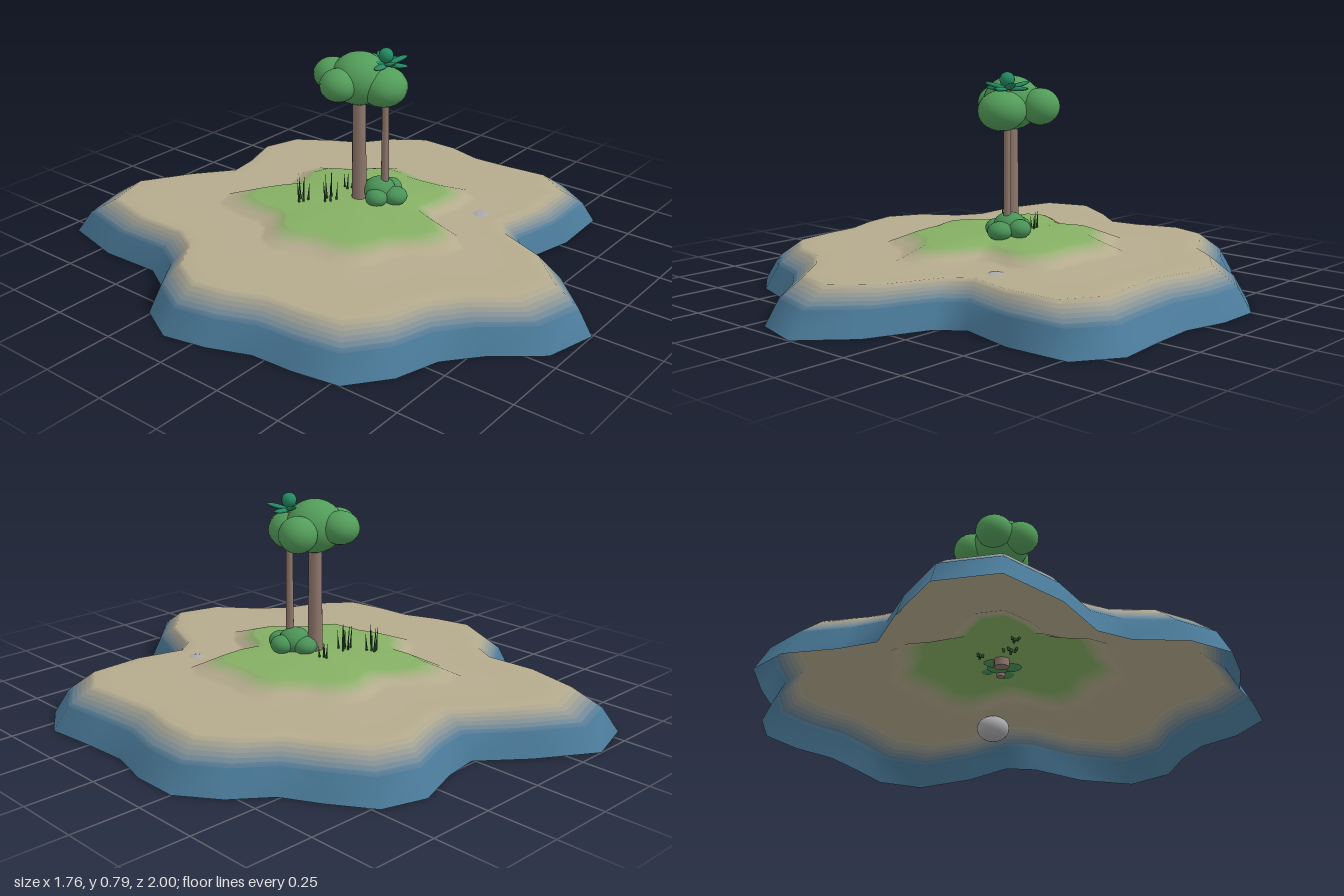
import * as THREE from 'three';

const SAND = 0xb5ab8e, WATER = 0x4a7a99, GRASS = 0x86b064;
const mat = (color, extra = {}) => new THREE.MeshStandardMaterial({ color, roughness: 0.9, ...extra });

// Shoreline as x, z pairs, running from +x towards +z
const SHORE = [
  [.88, -.25], [.88, -.08], [.84, .08], [.85, .25], [.87, .44], [.77, .59], [.535, .60], [.325, .55], [.235, .62],
  [.145, .84], [-.01, 1], [-.20, .95], [-.33, .79], [-.45, .69], [-.61, .64], [-.75, .53], [-.78, .36],
  [-.79, .20], [-.85, .05], [-.885, -.11], [-.81, -.26], [-.66, -.36], [-.60, -.47], [-.61, -.70], [-.555, -.94],
  [-.36, -1], [-.15, -.87], [.01, -.74], [.145, -.76], [.32, -.82], [.48, -.77], [.58, -.62], [.65, -.49], [.78, -.39],
];

// Rings of the island: scale of the shoreline, height, colour, subdivisions to the next ring
const RINGS = [
  [1, 0, WATER, 1], [.945, .085, WATER, 6], [.845, .15, SAND, 1], [.77, .15, SAND, 1],
  [.49, .15, SAND, 2], [.44, .167, SAND, 6], [.36, .195, GRASS, 1], [.2, .205, GRASS, 1], [.001, .21, GRASS, 1],
];

// Open shell; each band of quads has its own colour so that beach and meadow blend
function buildIsland() {
  const rows = [], colors = [];
  RINGS.forEach(([s, y, c, n], i) => {
    const next = RINGS[i + 1];
    if (!next) return rows.push([s, y]);
    for (let k = 0; k < n; k++) {
      const t = k / n;
      rows.push([s + (next[0] - s) * t, y + (next[1] - y) * t]);
      colors.push(new THREE.Color(c).lerp(new THREE.Color(next[2]), (k + 0.5) / n));
    }
  });
  const N = SHORE.length, pos = [], index = [];
  for (const [s, y] of rows) for (const [x, z] of SHORE) pos.push(x * s, y, z * s);
  const geo = new THREE.BufferGeometry();
  for (let r = 0; r < rows.length - 1; r++) {
    geo.addGroup(index.length, N * 6, r);
    for (let i = 0; i < N; i++) {
      const j = (i + 1) % N, a = r * N + i, b = r * N + j, c = a + N, d = b + N;
      index.push(a, c, b, b, c, d);
    }
  }
  geo.setAttribute('position', new THREE.Float32BufferAttribute(pos, 3));
  geo.setIndex(index);
  geo.computeVertexNormals();
  const mesh = new THREE.Mesh(geo, colors.map((c) => mat(c, { side: THREE.DoubleSide })));
  mesh.name = 'island';
  return mesh;
}

// Group of ellipsoids, each given as x, y, z, horizontal radius, vertical radius
function blobs(name, color, list) {
  const group = new THREE.Group(), m = mat(color), geo = new THREE.SphereGeometry(1, 20, 14);
  group.name = name;
  list.forEach(([x, y, z, r, h], i) => {
    const b = new THREE.Mesh(geo, m);
    b.name = `${name}Lobe${i + 1}`;
    b.position.set(x, y, z);
    b.scale.set(r, h, r);
    group.add(b);
  });
  return group;
}

function trunk(name, x, z, bottom, top, rTop, rBottom) {
  const t = new THREE.Mesh(new THREE.CylinderGeometry(rTop, rBottom, top - bottom, 12), mat(0x8f776c));
  t.name = name;
  t.position.set(x, (top + bottom) / 2, z);
  return t;
}

// Crown of leaves around a small bud on the thin tree
function buildLeafCrown() {
  const crown = new THREE.Group(), m = mat(0x238a62);
  crown.name = 'leafCrown';
  crown.position.set(.07, .73, .08);
  const bud = new THREE.Mesh(new THREE.SphereGeometry(.027, 16, 12), m);
  bud.name = 'bud';
  bud.position.y = .034;
  crown.add(bud);
  const leafGeo = new THREE.SphereGeometry(1, 12, 8);
  leafGeo.scale(.043, .008, .017);
  leafGeo.translate(.043, 0, 0);
  for (let i = 0; i < 8; i++) {
    const leaf = new THREE.Mesh(leafGeo, m);
    leaf.name = 'leaf';
    leaf.rotation.set(0, i * Math.PI / 4 + .2, i % 2 ? .3 : .05);
    crown.add(leaf);
  }
  return crown;
}

// Tuft of thin upright blades spread around a centre
function grassTuft(x, z, count, height, spread) {
  const tuft = new THREE.Group(), m = mat(0x2f5a35);
  tuft.name = 'grassTuft';
  for (let i = 0; i < count; i++) {
    const h = height * (1 - .35 * ((i * 3) % 5) / 5), a = i * 2.4;
    const r = spread * Math.sqrt(i / count);
    const geo = new THREE.ConeGeometry(.005, h, 5);
    geo.translate(0, h / 2, 0);
    const blade = new THREE.Mesh(geo, m);
    blade.name = 'grassBlade';
    blade.position.set(x + Math.cos(a) * r, .195, z + Math.sin(a) * r);
    blade.rotation.set(.08 * Math.sin(a), 0, -.08 * Math.cos(a));
    tuft.add(blade);
  }
  return tuft;
}

export function createModel() {
  const model = new THREE.Group();
  model.name = 'islandWithTrees';
  model.add(buildIsland());

  // Trees
  model.add(trunk('thickTrunk', .018, 0, .18, .64, .024, .028));
  model.add(trunk('thinTrunk', .07, .08, .18, .74, .012, .015));
  model.add(blobs('canopy', 0x539d5a, [
    [.02, .675, 0, .105, .097],
    [.05, .653, .085, .088, .073],
    [-.075, .67, -.02, .068, .06],
    [.13, .665, -.03, .07, .066],
    [-.01, .68, -.1, .07, .06],
  ]));
  model.add(buildLeafCrown());

  // Bush around the foot of the thin tree
  model.add(blobs('bush', 0x4a9357, [
    [.065, .24, .06, .06, .048],
    [.02, .228, .08, .042, .034],
    [.12, .234, .07, .042, .034],
    [.075, .228, .125, .045, .034],
    [.06, .23, .01, .045, .034],
  ]));

  // Grass tufts
  model.add(grassTuft(-.125, -.15, 5, .12, .022));
  model.add(grassTuft(-.065, -.07, 6, .12, .03));
  model.add(grassTuft(.055, -.085, 4, .08, .018));

  // Rock, mostly buried in the sand
  model.add(blobs('rock', 0xa9a9ad, [[.28, .106, .37, .063, .049]]));
  return model;
}
